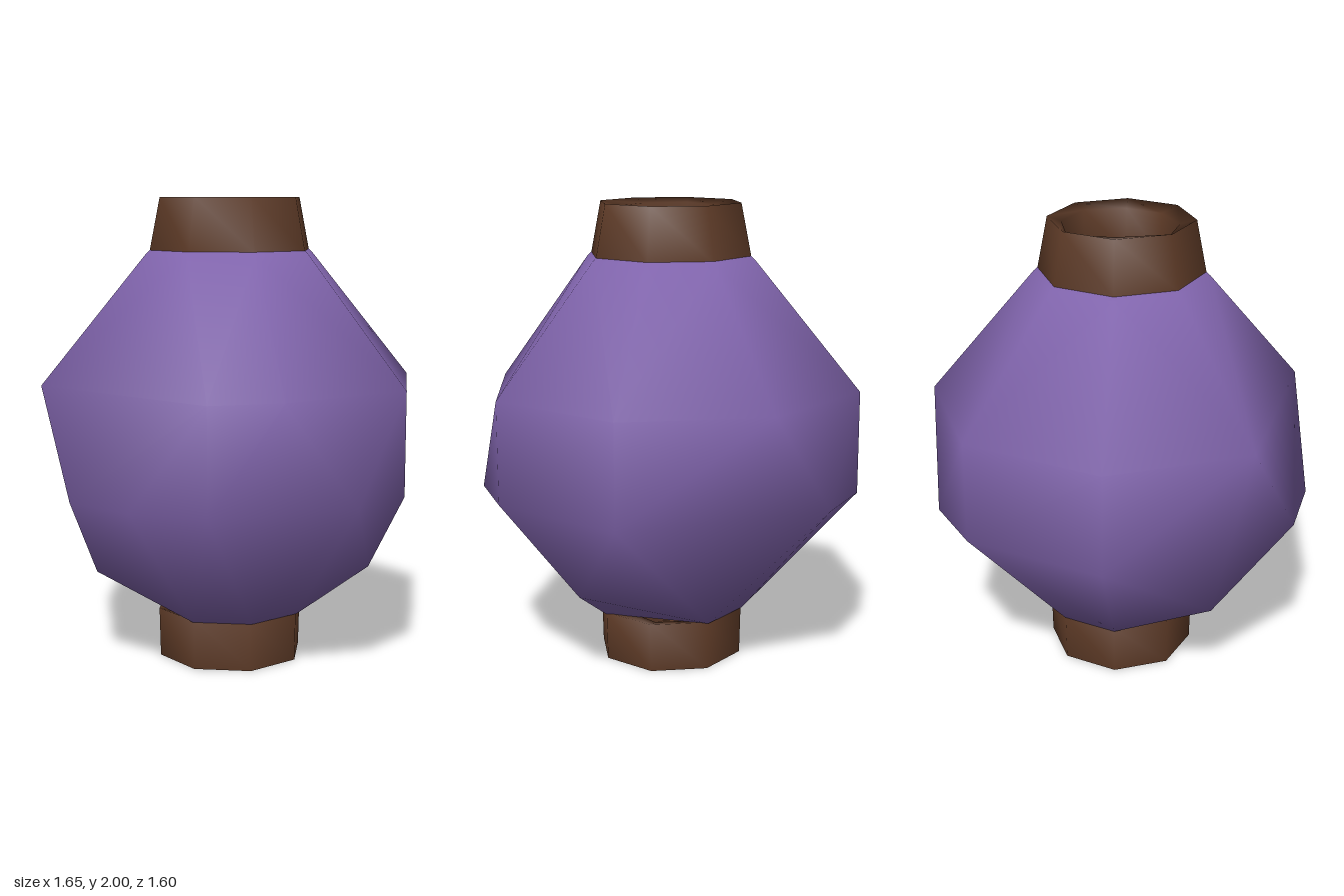
import * as THREE from 'three';
import { mergeVertices } from 'three/addons/utils/BufferGeometryUtils.js';
import { ConvexGeometry } from 'three/addons/geometries/ConvexGeometry.js';

const TOP = 1.8, BOTTOM = 0.21, CENTRE_Z = 0.03;

// Regular ring of points, leaving out the listed indices
function ring(y, radius, skip = []) {
  const out = [];
  for (let i = 0; i < 8; i++) {
    if (skip.includes(i)) continue;
    const a = i * Math.PI / 4;
    out.push([radius * Math.sin(a), y, CENTRE_Z + radius * Math.cos(a)]);
  }
  return out;
}

const level = (y, pairs) => pairs.map(([x, z]) => [x, y, z]);

// Faceted paper globe, open at both ends, shaded as a round ball
function globeGeometry() {
  const points = [
    ...ring(TOP, 0.33),
    ...ring(1.765, 0.37),
    ...level(1.22, [[0, -0.8], [0.58, -0.555], [0.825, 0.03], [0.58, 0.61],
      [0, 0.8], [-0.31, 0.79], [-0.825, 0.03], [-0.58, -0.555]]),
    ...level(0.78, [[0, -0.8], [0.31, -0.735], [0.825, 0.03], [0.58, 0.61],
      [0.31, 0.79], [-0.31, 0.79], [-0.58, 0.61], [-0.765, 0.34], [-0.58, -0.555]]),
    ...level(0.4, [[0.56, 0.27], [-0.6, 0.03]]),
    ...ring(BOTTOM, 0.33, [2, 6]),
  ].map((p) => new THREE.Vector3(...p));

  // Drop the flat caps of the hull so the ends stay open
  const pos = new ConvexGeometry(points).getAttribute('position');
  const kept = [], normals = [];
  const centre = new THREE.Vector3(0, 1, 0.02);
  const v = new THREE.Vector3();
  for (let i = 0; i < pos.count; i += 3) {
    const ys = [0, 1, 2].map((k) => pos.getY(i + k));
    const cap = [TOP, BOTTOM].some((c) => ys.every((y) => Math.abs(y - c) < 1e-4));
    if (cap) continue;
    for (let k = 0; k < 3; k++) {
      kept.push(...v.fromBufferAttribute(pos, i + k).toArray());
      normals.push(...v.sub(centre).normalize().toArray());
    }
  }
  const geo = new THREE.BufferGeometry();
  geo.setAttribute('position', new THREE.Float32BufferAttribute(kept, 3));
  geo.setAttribute('normal', new THREE.Float32BufferAttribute(normals, 3));
  return geo;
}

// Radius of the uneven inner wall in each of the eight directions
const INNER = [0.22, 0.22, 0.25, 0.25, 0.285, 0.21, 0.285, 0.24];

// Eight-sided double-walled collar; outer holds [radius, height] points and
// the inner wall runs between the two given heights
function collar(name, outer, innerFrom, innerTo, material) {
  const profile = [...outer, [1, innerFrom], [1, innerTo]];
  const lathe = new THREE.LatheGeometry(profile.map((p) => new THREE.Vector2(...p)), 8);
  const pos = lathe.getAttribute('position');
  const n = profile.length;
  for (let i = 0; i <= 8; i++) {
    const a = (i % 8) * Math.PI / 4, r = INNER[i % 8];
    for (const j of [n - 2, n - 1]) {
      pos.setX(i * n + j, r * Math.sin(a));
      pos.setZ(i * n + j, r * Math.cos(a));
    }
  }
  lathe.deleteAttribute('uv');
  lathe.deleteAttribute('normal');
  const geo = mergeVertices(lathe);
  geo.computeVertexNormals();
  const mesh = new THREE.Mesh(geo, material);
  mesh.name = name;
  mesh.position.z = CENTRE_Z;
  return mesh;
}

export function createModel() {
  const paper = new THREE.MeshStandardMaterial({ color: 0x8064ac, side: THREE.DoubleSide });
  paper.name = 'purple paper';
  const wood = new THREE.MeshStandardMaterial({ color: 0x5a3825, side: THREE.DoubleSide });
  wood.name = 'brown wood';

  const group = new THREE.Group();
  group.name = 'lantern';

  const globe = new THREE.Mesh(globeGeometry(), paper);
  globe.name = 'globe';

  group.add(
    globe,
    collar('topCollar', [[0.355, 1.775], [0.31, 2]], 1.98, 1.79, wood),
    collar('bottomCollar', [[0.32, 0], [0.325, 0.215]], 0.2, 0.02, wood),
  );
  // Underside rim closing the bottom collar between its two walls
  const rim = new THREE.Mesh(new THREE.RingGeometry(0.25, 0.32, 8, 1, Math.PI / 2), wood);
  rim.name = 'bottomRim';
  rim.rotation.x = Math.PI / 2;
  rim.position.set(0, 0.005, CENTRE_Z);
  group.add(rim);
  return group;
}
